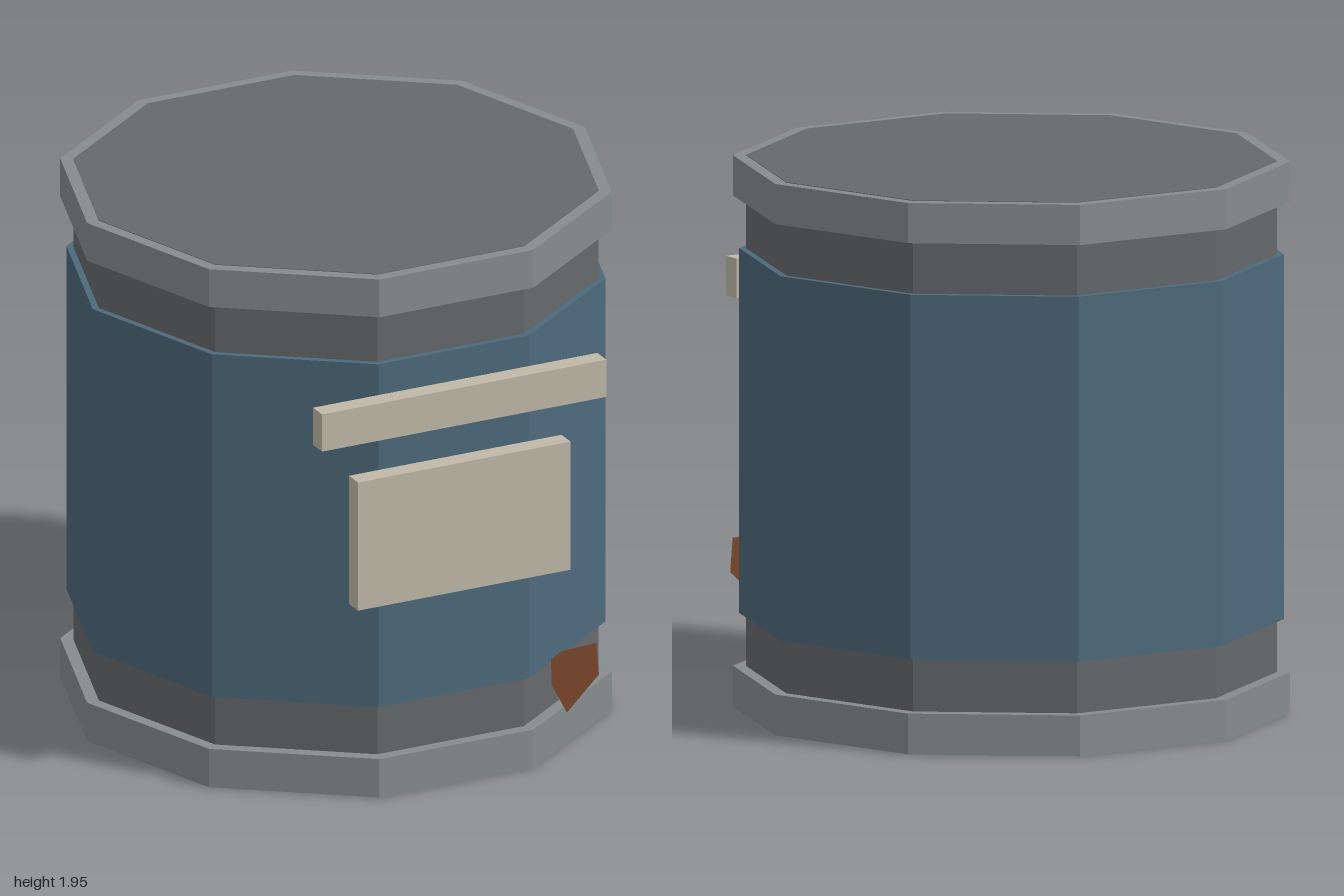
import * as THREE from 'three';

const SIDES = 10;
const CENTRE_Z = -0.075;

function material(name, color, extra = {}) {
  const m = new THREE.MeshStandardMaterial({ color, flatShading: true, ...extra });
  m.name = name;
  return m;
}

export function createModel() {
  const group = new THREE.Group();
  group.name = 'drum';

  const rimGrey = material('rim grey', 0x868c8f);
  const darkGrey = material('dark grey', 0x65696b);
  const blue = material('blue paint', 0x4d697b);
  const cream = material('cream', 0xc0b8a8);
  const rust = material('rust', 0x7a472b, { side: THREE.DoubleSide });

  function add(name, geometry, mat) {
    const mesh = new THREE.Mesh(geometry, mat);
    mesh.name = name;
    group.add(mesh);
    return mesh;
  }

  // Ten-sided band between two heights, with a flat face to the front
  function band(name, radius, y0, y1, mat) {
    const g = new THREE.CylinderGeometry(radius, radius, y1 - y0, SIDES, 1, false, Math.PI / 2);
    add(name, g, mat).position.set(0, (y0 + y1) / 2, CENTRE_Z);
  }

  // Core shows at both necks and as the lid and base discs
  band('core', 0.926, 0, 1.952, darkGrey);
  band('paintedBody', 0.95, 0.333, 1.622, blue);
  band('bottomRim', 0.972, 0.002, 0.146, rimGrey);
  band('topRim', 0.972, 1.808, 1.95, rimGrey);

  // Raised plates in front of the body
  function plate(name, width, y0, y1) {
    const g = new THREE.BoxGeometry(width, y1 - y0, 0.07);
    add(name, g, cream).position.set(0, (y0 + y1) / 2, 0.875);
  }
  plate('upperStrip', 1.11, 1.372, 1.512);
  plate('labelPanel', 0.83, 0.748, 1.23);

  // Flat rust patch
  const outline = [
    [0.293, 0.465], [0.295, 0.37], [0.355, 0.255],
    [0.48, 0.375], [0.47, 0.495], [0.335, 0.49],
  ].map(([x, y]) => new THREE.Vector2(x, y));
  add('rustPatch', new THREE.ShapeGeometry(new THREE.Shape(outline)), rust).position.z = 1;

  return group;
}
